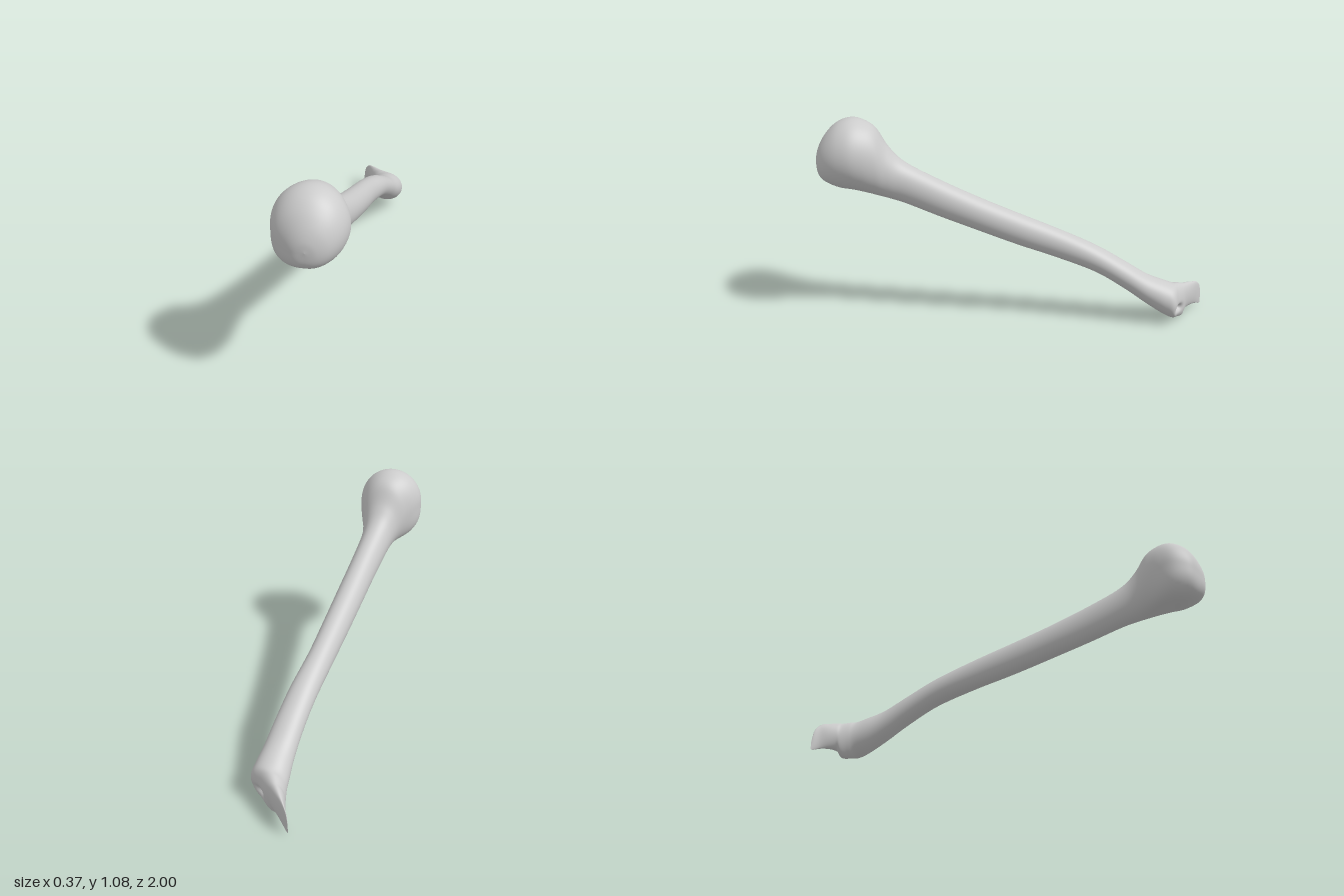
import * as THREE from 'three';

// Cross-section limits along the bone: [z, xMin, xMax, yMin, yMax]
const SECTIONS = [
  // rounded head
  [1.0, -0.01, -0.01, 0.86, 0.86],
  [0.993, -0.06, 0.04, 0.8, 0.91],
  [0.97, -0.105, 0.085, 0.765, 0.965],
  [0.93, -0.155, 0.12, 0.74, 1.02],
  [0.88, -0.18, 0.142, 0.722, 1.06],
  [0.82, -0.188, 0.15, 0.712, 1.077],
  [0.76, -0.17, 0.138, 0.697, 1.065],
  [0.7, -0.135, 0.115, 0.68, 1.025],
  [0.64, -0.1, 0.088, 0.662, 0.93],
  // shaft
  [0.56, -0.08, 0.075, 0.635, 0.85],
  [0.39, -0.06, 0.083, 0.567, 0.76],
  [0.2, -0.045, 0.095, 0.495, 0.672],
  [0.0, -0.03, 0.105, 0.42, 0.588],
  [-0.2, -0.015, 0.115, 0.352, 0.507],
  [-0.4, 0.0, 0.14, 0.278, 0.42],
  [-0.55, 0.01, 0.158, 0.19, 0.335],
  [-0.67, 0.012, 0.172, 0.105, 0.262],
  // flared, obliquely cut lower end with its thin spur
  [-0.76, 0.003, 0.183, 0.045, 0.225],
  [-0.81, -0.003, 0.18, 0.02, 0.205],
  [-0.84, -0.01, 0.135, 0.008, 0.195],
  [-0.875, -0.02, 0.09, 0.002, 0.182],
  [-0.895, -0.027, 0.06, 0.03, 0.177],
  [-0.93, -0.042, 0.018, 0.035, 0.168],
  [-0.965, -0.057, -0.025, 0.028, 0.155],
  [-0.99, -0.073, -0.06, 0.015, 0.12],
  [-1.0, -0.078, -0.078, 0.015, 0.06],
];

const AROUND = 72;
const STEPS = 7;

// Uniform splines through opposite corners share z at equal parameters
function cornerCurve(xi, yi) {
  const points = SECTIONS.map((s) => new THREE.Vector3(s[xi], s[yi], s[0]));
  return new THREE.CatmullRomCurve3(points, false, 'catmullrom', 0.5);
}

function boneGeometry() {
  const low = cornerCurve(1, 3);
  const high = cornerCurve(2, 4);
  const rings = (SECTIONS.length - 1) * STEPS;
  const positions = [];
  const index = [];

  for (let i = 0; i <= rings; i++) {
    const a = low.getPoint(i / rings);
    const b = high.getPoint(i / rings);
    const headness = THREE.MathUtils.smoothstep(a.z, 0.66, 0.8);
    for (let j = 0; j < AROUND; j++) {
      const angle = (j / AROUND) * Math.PI * 2;
      let c = Math.cos(angle);
      let s = Math.sin(angle);
      // fuller lower corner on one side of the head
      if (c < 0 && s < 0) {
        const swell = 1 + 0.14 * headness * Math.sin(2 * angle) ** 2;
        c *= swell;
        s *= swell;
      }
      let x = (a.x + b.x) / 2 + (c * (b.x - a.x)) / 2;
      const y = (a.y + b.y) / 2 + (s * (b.y - a.y)) / 2;
      let z = a.z;
      // small pit in the oblique face of the lower end
      if (c > 0 && z < -0.7) {
        const d2 = (y - 0.08) ** 2 + (z + 0.845) ** 2;
        const dent = 0.035 * Math.exp(-d2 / 0.018 ** 2);
        x -= dent * 0.8;
        z += dent * 0.4;
      }
      positions.push(x, y, z);
    }
  }

  for (let i = 0; i < rings; i++) {
    for (let j = 0; j < AROUND; j++) {
      const k = (j + 1) % AROUND;
      const p = i * AROUND;
      const q = p + AROUND;
      index.push(p + j, q + j, p + k, q + j, q + k, p + k);
    }
  }

  const geometry = new THREE.BufferGeometry();
  geometry.setAttribute('position', new THREE.Float32BufferAttribute(positions, 3));
  geometry.setIndex(index);
  geometry.computeVertexNormals();
  return geometry;
}

export function createModel() {
  const group = new THREE.Group();
  group.name = 'armBone';
  const material = new THREE.MeshStandardMaterial({ color: 0xcccccc, side: THREE.DoubleSide });
  const bone = new THREE.Mesh(boneGeometry(), material);
  bone.name = 'boneShaftAndEnds';
  group.add(bone);
  return group;
}
